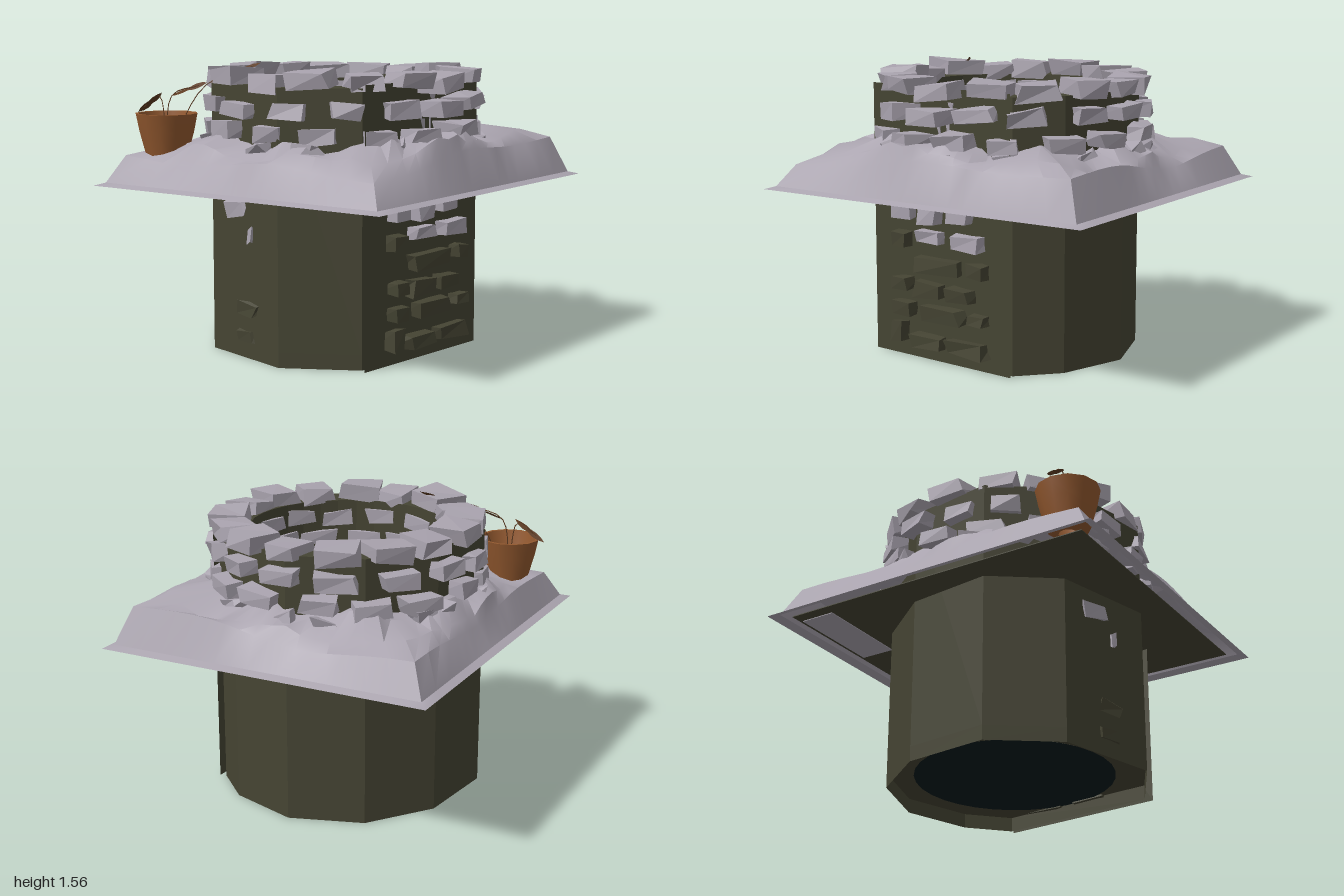
import * as THREE from 'three';
import { toCreasedNormals } from 'three/addons/utils/BufferGeometryUtils.js';

const mat = (name, color, side = THREE.FrontSide) => {
  const m = new THREE.MeshStandardMaterial({ color, side });
  m.name = name;
  return m;
};

export function createModel() {
  const stone = mat('stone grey', 0xa9a3ae);
  const ground = mat('ground grey', 0xaba5b0, THREE.DoubleSide);
  const mortar = mat('dark mortar', 0x454433, THREE.DoubleSide);
  const water = mat('dark water', 0x051b1d, THREE.DoubleSide);
  const clay = mat('terracotta', 0x93592f, THREE.DoubleSide);
  const dry = mat('dry plant', 0x5e3c22, THREE.DoubleSide);

  let seed = 11;
  const rnd = () => (seed = (seed * 16807) % 2147483647) / 2147483647;
  const vary = (a) => (rnd() * 2 - 1) * a;

  const root = new THREE.Group();
  root.name = 'stoneWell';
  const add = (parent, name, geo, material) => {
    const m = new THREE.Mesh(geo, material);
    m.name = name;
    parent.add(m);
    return m;
  };
  const group = (name) => {
    const g = new THREE.Group();
    g.name = name;
    root.add(g);
    return g;
  };

  // Roughly hewn block: a box with its eight corners shifted
  const blockGeo = (w, h, d, rough = 0.1) => {
    const g = new THREE.BoxGeometry(w, h, d).toNonIndexed();
    const p = g.attributes.position;
    const shifts = Array.from({ length: 8 }, () => [vary(w * rough), vary(h * rough * 1.3), vary(d * rough)]);
    for (let i = 0; i < p.count; i++) {
      const s = shifts[(p.getX(i) > 0 ? 1 : 0) + (p.getY(i) > 0 ? 2 : 0) + (p.getZ(i) > 0 ? 4 : 0)];
      p.setXYZ(i, p.getX(i) + s[0], p.getY(i) + s[1], p.getZ(i) + s[2]);
    }
    g.computeVertexNormals();
    return g;
  };

  // Flat outline (x, z) with a round hole, extruded upwards
  const slab = (outline, radius, y, h) => {
    const s = new THREE.Shape(outline.map(([x, z]) => new THREE.Vector2(x, -z)));
    s.holes.push(new THREE.Path().absarc(0, 0, radius, 0, Math.PI * 2, true));
    const g = new THREE.ExtrudeGeometry(s, { depth: h, bevelEnabled: false, curveSegments: 16 });
    return g.rotateX(-Math.PI / 2).translate(0, y, 0);
  };

  // Shaft, running from just above the bottom to the rim, with an open skirt below
  const outline = [[0.495, 0.52], [0.114, 0.73], [-0.45, 0.58], [-0.695, 0.24], [-0.64, -0.23],
    [-0.39, -0.56], [0, -0.69], [0.38, -0.57], [0.58, -0.38]];
  add(root, 'shaft', slab(outline, 0.53, 0.08, 1.37), mortar);
  const skirt = group('shaftSkirt');
  outline.forEach(([x, z], i) => {
    const [x2, z2] = outline[(i + 1) % outline.length];
    const side = add(skirt, 'skirtSide', new THREE.PlaneGeometry(Math.hypot(x2 - x, z2 - z), 0.08), mortar);
    side.position.set((x + x2) / 2, 0.04, (z + z2) / 2);
    side.rotation.y = Math.atan2(z - z2, x2 - x) + Math.PI;
  });

  // Flat side panel standing just off the shaft
  const panel = group('sidePanel');
  panel.position.set(0.573, 0, 0.08);
  panel.rotation.y = Math.PI / 2 - Math.atan2(0.08, 0.94);
  add(panel, 'panelSheet', new THREE.PlaneGeometry(0.943, 1.47).translate(0, 0.735, 0), mortar);
  // Panel stones: z, y, width, height
  const panelStones = [
    [0.31, 0.82, 0.11, 0.11], [0.13, 0.8, 0.14, 0.1], [-0.07, 0.81, 0.14, 0.07],
    [0.13, 0.68, 0.15, 0.07], [-0.13, 0.68, 0.2, 0.07], [0.33, 0.65, 0.1, 0.08],
    [0.07, 0.53, 0.27, 0.08], [-0.2, 0.54, 0.1, 0.07], [0.32, 0.41, 0.1, 0.06],
    [0.14, 0.39, 0.17, 0.08], [-0.08, 0.4, 0.15, 0.07], [0.31, 0.27, 0.12, 0.07],
    [0.05, 0.27, 0.25, 0.08], [-0.2, 0.28, 0.1, 0.06], [0.35, 0.14, 0.08, 0.1],
    [0.15, 0.11, 0.2, 0.07], [-0.13, 0.11, 0.25, 0.07]];
  for (const [z, y, w, h] of panelStones) {
    const m = add(panel, 'panelStone', blockGeo(w, h, 0.12), y > 0.63 && z < 0.33 ? stone : mortar);
    m.position.set(0.08 - z, y, 0.005);
  }

  // A few stones showing through the front of the shaft
  const chips = group('frontChips');
  for (const [x, y, z, w, h, m] of [[-0.24, 0.79, 0.635, 0.15, 0.09, stone], [-0.11, 0.66, 0.67, 0.04, 0.08, stone],
    [-0.14, 0.27, 0.66, 0.16, 0.06, mortar], [-0.15, 0.12, 0.66, 0.12, 0.06, mortar]]) {
    const c = add(chips, 'chip', blockGeo(w, h, 0.03, 0.2), m);
    c.position.set(x, y, z);
    c.rotation.y = -0.26;
  }

  // Water closing the bore
  add(root, 'water', new THREE.CircleGeometry(0.54, 32).rotateX(-Math.PI / 2).translate(0, 0.075, 0), water);

  // Ground mound: loops blending from a square flange to a circle around the wall
  const N = 64;
  const square = (t, hx, hz) => {
    const c = Math.cos(t), s = Math.sin(t), k = Math.max(Math.abs(c), Math.abs(s));
    return [c * hx / k, s * hz / k];
  };
  const right = (t) => Math.max(0, Math.cos(t)) ** 3;
  const edgeY = (t) => 1.055 + 0.025 * Math.sin(5 * t + 1) + 0.07 * right(t + 0.55);
  const pos = [], index = [];
  const loops = [
    (t) => { const [x, z] = square(t, 0.93, 1); return [x, 0.9, z]; },
    (t) => { const [x, z] = square(t, 0.885, 0.95); return [x, 0.915, z]; },
    (t) => { const [x, z] = square(t, 0.81, 0.87); return [x, edgeY(t), z]; },
    (t) => {
      const [x, z] = square(t, 0.81, 0.87);
      const y = 1.1 + 0.03 * Math.sin(7 * t) + 0.07 * right(t) + vary(0.02);
      return [x * 0.6 + 0.3 * Math.cos(t), y, z * 0.6 + 0.3 * Math.sin(t)];
    },
    (t) => [0.71 * Math.cos(t), 1.155 + 0.03 * Math.sin(9 * t + 2) + 0.03 * right(t) + vary(0.025), 0.71 * Math.sin(t)],
    (t) => [0.54 * Math.cos(t), 1.19, 0.54 * Math.sin(t)],
  ];
  loops.forEach((f, r) => {
    for (let i = 0; i < N; i++) {
      pos.push(...f(i / N * Math.PI * 2));
      if (r === 0) continue;
      const a = (r - 1) * N + i, b = (r - 1) * N + (i + 1) % N;
      index.push(a, a + N, b, b, a + N, b + N);
    }
  });
  const mound = new THREE.BufferGeometry();
  mound.setAttribute('position', new THREE.Float32BufferAttribute(pos, 3));
  mound.setIndex(index);
  add(root, 'groundMound', toCreasedNormals(mound, 0.6), ground);
  add(root, 'moundUnderside', slab([[-0.84, 0.9], [0.84, 0.9], [0.84, -0.9], [-0.84, -0.9]], 0.54, 0.907, 0.005), mortar);
  // Bare ground patches under the back of the mound
  for (const [x, w] of [[0.42, 0.76], [-0.5, 0.55]]) {
    add(root, 'undersidePatch', new THREE.BoxGeometry(w, 0.004, 0.2).translate(x, 0.904, -0.78), ground);
  }

  // Stone courses: name, count, radius, height, block size, turn offset
  const courses = [
    ['capStones', 16, 0.63, 1.475, 0.195, 0.085, 0.2, 0],
    ['upperCourse', 15, 0.665, 1.34, 0.18, 0.08, 0.17, 0.2],
    ['lowerCourse', 15, 0.665, 1.205, 0.18, 0.08, 0.17, 0.02],
    ['innerUpperCourse', 14, 0.54, 1.36, 0.18, 0.08, 0.06, 0.1],
    ['innerMiddleCourse', 14, 0.54, 1.24, 0.18, 0.08, 0.06, 0.32],
    ['innerLowerCourse', 14, 0.54, 1.12, 0.18, 0.08, 0.06, 0.1],
  ];
  for (const [name, n, r, y, w, h, d, off] of courses) {
    const g = group(name);
    for (let i = 0; i < n; i++) {
      const t = off + (i + vary(0.1)) / n * Math.PI * 2;
      const m = add(g, 'stone', blockGeo(w * (1 + vary(0.18)), h, d), stone);
      m.position.set(Math.sin(t) * r, y + vary(0.015), Math.cos(t) * r);
      m.rotation.set(vary(0.07), t + vary(0.06), vary(0.07));
    }
  }

  // Loose rubble at the foot of the wall
  const rubble = group('rubble');
  for (let i = 0; i < 14; i++) {
    const t = i / 14 * Math.PI * 2 + vary(0.15);
    const m = add(rubble, 'shard', blockGeo(0.11, 0.05, 0.08, 0.25), stone);
    m.position.set(Math.sin(t) * 0.73, 1.135, Math.cos(t) * 0.73);
    m.rotation.set(vary(0.3), t, vary(0.3));
  }

  // Open clay pot, thin walled and rounded at the foot
  const pot = group('flowerPot');
  pot.position.set(-0.65, 0, 0.72);
  const profile = [[0.05, 1.03], [0.115, 1.06], [0.15, 1.19], [0.169, 1.285], [0.152, 1.285], [0.133, 1.19], [0.1, 1.07]];
  const potGeo = new THREE.LatheGeometry(profile.map(([r, y]) => new THREE.Vector2(r, y)), 12);
  add(pot, 'pot', toCreasedNormals(potGeo, 0.6), clay);

  // Withered stems with thin leaves at the tips
  const plant = group('witheredPlant');
  const stems = [
    [[-0.65, 1.1, 0.72], [-0.7, 1.38, 0.72], [-0.81, 1.31, 0.72]],
    [[-0.65, 1.1, 0.72], [-0.6, 1.38, 0.73], [-0.43, 1.44, 0.7]],
    [[-0.63, 1.1, 0.72], [-0.42, 1.44, 0.66], [-0.24, 1.54, 0.48]],
  ];
  const leafShape = new THREE.Shape();
  leafShape.moveTo(-0.07, 0).quadraticCurveTo(0, 0.04, 0.07, 0).quadraticCurveTo(0, -0.03, -0.07, 0);
  for (const s of stems) {
    const pts = s.map((p) => new THREE.Vector3(...p));
    add(plant, 'stem', new THREE.TubeGeometry(new THREE.CatmullRomCurve3(pts), 10, 0.003, 4), dry);
    const along = pts[2].clone().sub(pts[1]).normalize();
    for (const k of [0.35, 0.9]) {
      const leaf = add(plant, 'leaf', new THREE.ShapeGeometry(leafShape, 4), dry);
      leaf.position.lerpVectors(pts[1], pts[2], k);
      leaf.quaternion.setFromUnitVectors(new THREE.Vector3(1, 0, 0), along);
      leaf.rotateX(-0.9 + vary(0.3));
    }
  }
  return root;
}
